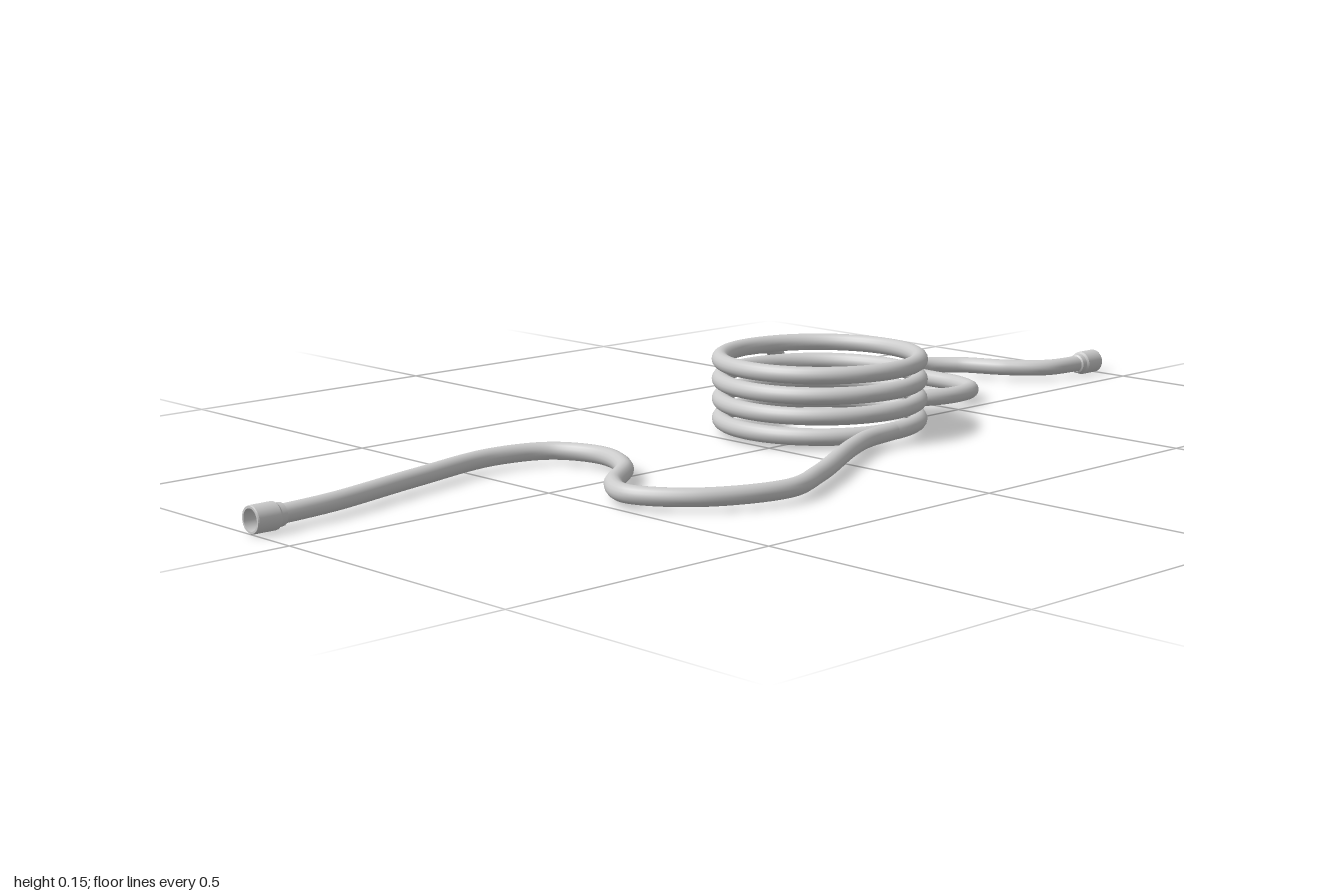
import * as THREE from 'three';

const HOSE_R = 0.0155;
const REST_Y = 0.025;
const COIL = { x: 0.18, z: -0.052, r: 0.178, pitch: 0.036, turns: 4 };

const material = new THREE.MeshStandardMaterial({ color: 0xcccccc, side: THREE.DoubleSide });

function mesh(name, geometry) {
  const m = new THREE.Mesh(geometry, material);
  m.name = name;
  return m;
}

// Smooth round hose through [x, z, y] points; y defaults to lying on the ground
function hose(name, points) {
  const path = new THREE.CatmullRomCurve3(
    points.map(([x, z, y = REST_Y]) => new THREE.Vector3(x, y, z)), false, 'centripetal');
  return mesh(name, new THREE.TubeGeometry(path, 200, HOSE_R, 16));
}

// Cup-shaped end fitting with an open mouth; side is the x direction of the mouth
function fitting(name, side, z) {
  const profile = [
    [0.0155, 0], [0.0185, 0.002], [0.0195, 0.012], [0.0225, 0.016], [0.0225, 0.056],
    [0.0215, 0.058], [0.018, 0.058], [0.018, 0.03], [0, 0.03],
  ];
  // Doubled points keep the rims crisp
  const points = profile.flatMap(([r, y]) => [new THREE.Vector2(r, y), new THREE.Vector2(r, y)]);
  const m = mesh(name, new THREE.LatheGeometry(points, 24));
  m.rotation.z = -side * Math.PI / 2;
  m.position.set(side * 0.942, REST_Y, z);
  return m;
}

export function createModel() {
  const group = new THREE.Group();
  group.name = 'coiledHose';

  // Stacked turns of the coil
  const coil = new THREE.Group();
  coil.name = 'coil';
  for (let i = 0; i < COIL.turns; i++) {
    const turn = mesh('coilTurn', new THREE.TorusGeometry(COIL.r, HOSE_R, 16, 80));
    turn.rotation.x = Math.PI / 2;
    turn.position.set(COIL.x, REST_Y + i * COIL.pitch, COIL.z);
    coil.add(turn);
  }
  group.add(coil);

  // Long end, running from the bottom turn out to the right fitting
  group.add(hose('rightHose', [
    [-0.96, -0.1], [-0.9, -0.105], [-0.83, -0.115], [-0.64, -0.163], [-0.45, -0.2],
    [-0.35, -0.168], [-0.315, -0.08], [-0.355, 0.02], [-0.45, 0.1], [-0.48, 0.165],
    [-0.42, 0.262], [-0.275, 0.318], [-0.16, 0.275], [0.02, 0.175], [0.1, 0.14], [0.18, 0.126],
  ]));

  // Wavy end, dropping from the top turn to the ground and out to the left fitting
  group.add(hose('leftHose', [
    [0.17, -0.23, 0.133], [0.24, -0.24, 0.126], [0.33, -0.295, 0.071], [0.41, -0.322, 0.032],
    [0.48, -0.313], [0.508, -0.28], [0.49, -0.22], [0.44, -0.115], [0.445, -0.055],
    [0.51, -0.027], [0.58, -0.04], [0.61, -0.1], [0.62, -0.21], [0.655, -0.268],
    [0.715, -0.278], [0.77, -0.235], [0.815, -0.145], [0.87, -0.09], [0.96, -0.076],
  ]));

  group.add(fitting('rightFitting', -1, -0.1));
  group.add(fitting('leftFitting', 1, -0.075));
  return group;
}
